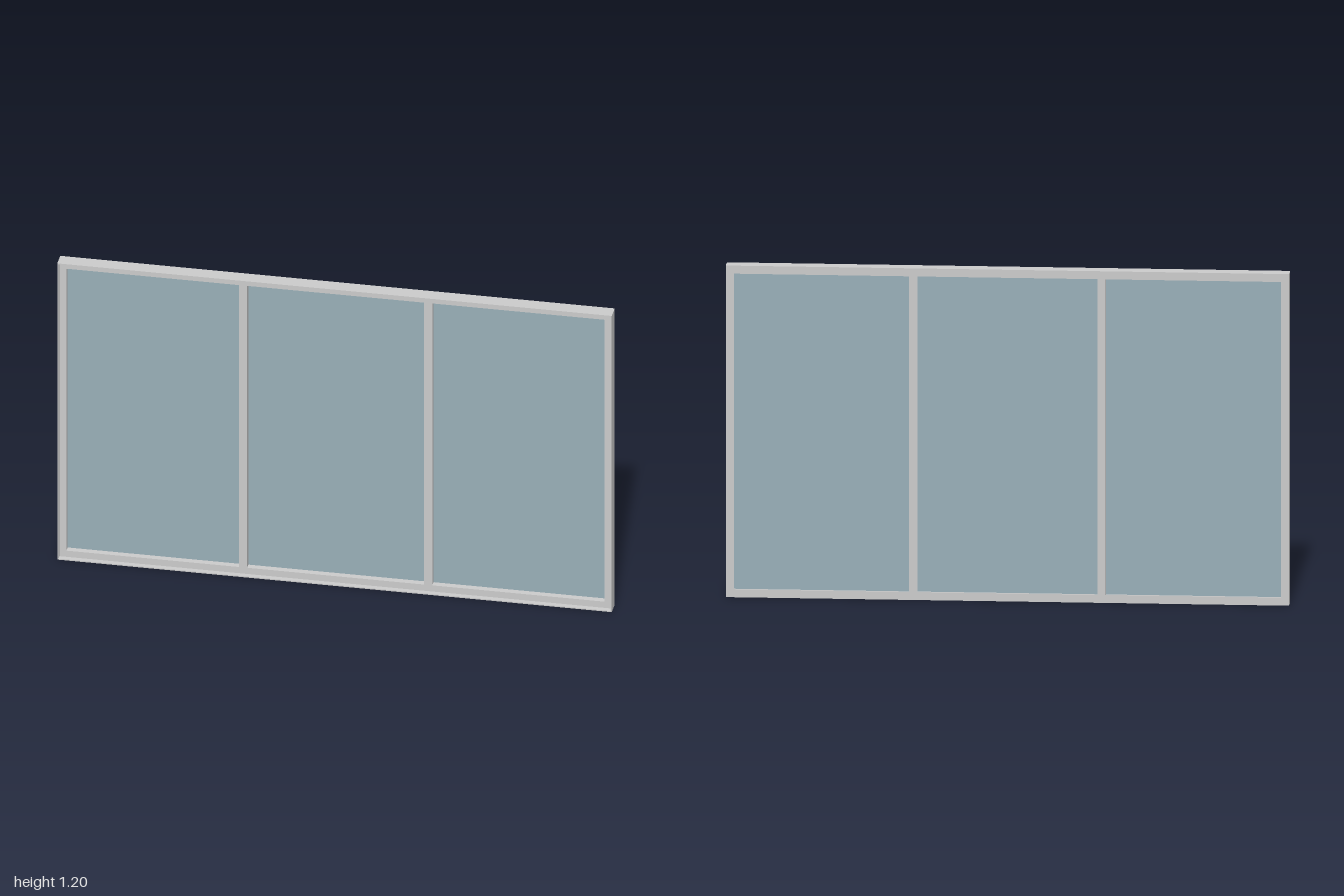
import * as THREE from 'three';

const W = 2, H = 1.2, D = 0.056;   // overall size
const RIM = 0.004;                 // thin lip around the front edge
const FACE = 0.009;                // z of the recessed frame front
const BACK = -D / 2;

const frameMat = new THREE.MeshStandardMaterial({ color: 0xcccccc });
const glassMat = new THREE.MeshStandardMaterial({ color: 0x99afb8 });

// Rectangle outline from two corners
function rect(Type, x0, y0, x1, y1) {
  const p = new Type();
  p.moveTo(x0, y0);
  p.lineTo(x1, y0);
  p.lineTo(x1, y1);
  p.lineTo(x0, y1);
  p.closePath();
  return p;
}

// Flat panel with rectangular openings, extruded from z0 to z1
function panel(name, holes, z0, z1) {
  const shape = rect(THREE.Shape, -W / 2, 0, W / 2, H);
  holes.forEach(h => shape.holes.push(rect(THREE.Path, ...h)));
  const geo = new THREE.ExtrudeGeometry(shape, { depth: z1 - z0, bevelEnabled: false });
  geo.translate(0, 0, z0);
  const mesh = new THREE.Mesh(geo, frameMat);
  mesh.name = name;
  return mesh;
}

export function createModel() {
  const group = new THREE.Group();
  group.name = 'window';

  // Three openings separated by two mullions
  const y0 = 0.029, y1 = H - 0.029;
  const openings = [[-0.971, -0.349], [-0.319, 0.319], [0.349, 0.971]]
    .map(([a, b]) => [a, y0, b, y1]);
  group.add(panel('frame', openings, BACK, FACE));

  // Raised lip around the front
  group.add(panel('frontRim', [[-W / 2 + RIM, RIM, W / 2 - RIM, H - RIM]], FACE, D / 2));

  // Glass panes, set near the back of the openings
  openings.forEach(([a, b, c, d], i) => {
    const pane = new THREE.Mesh(new THREE.BoxGeometry(c - a, d - b, 0.005), glassMat);
    pane.position.set((a + c) / 2, (b + d) / 2, -0.017);
    pane.name = 'glassPane' + (i + 1);
    group.add(pane);
  });

  return group;
}
